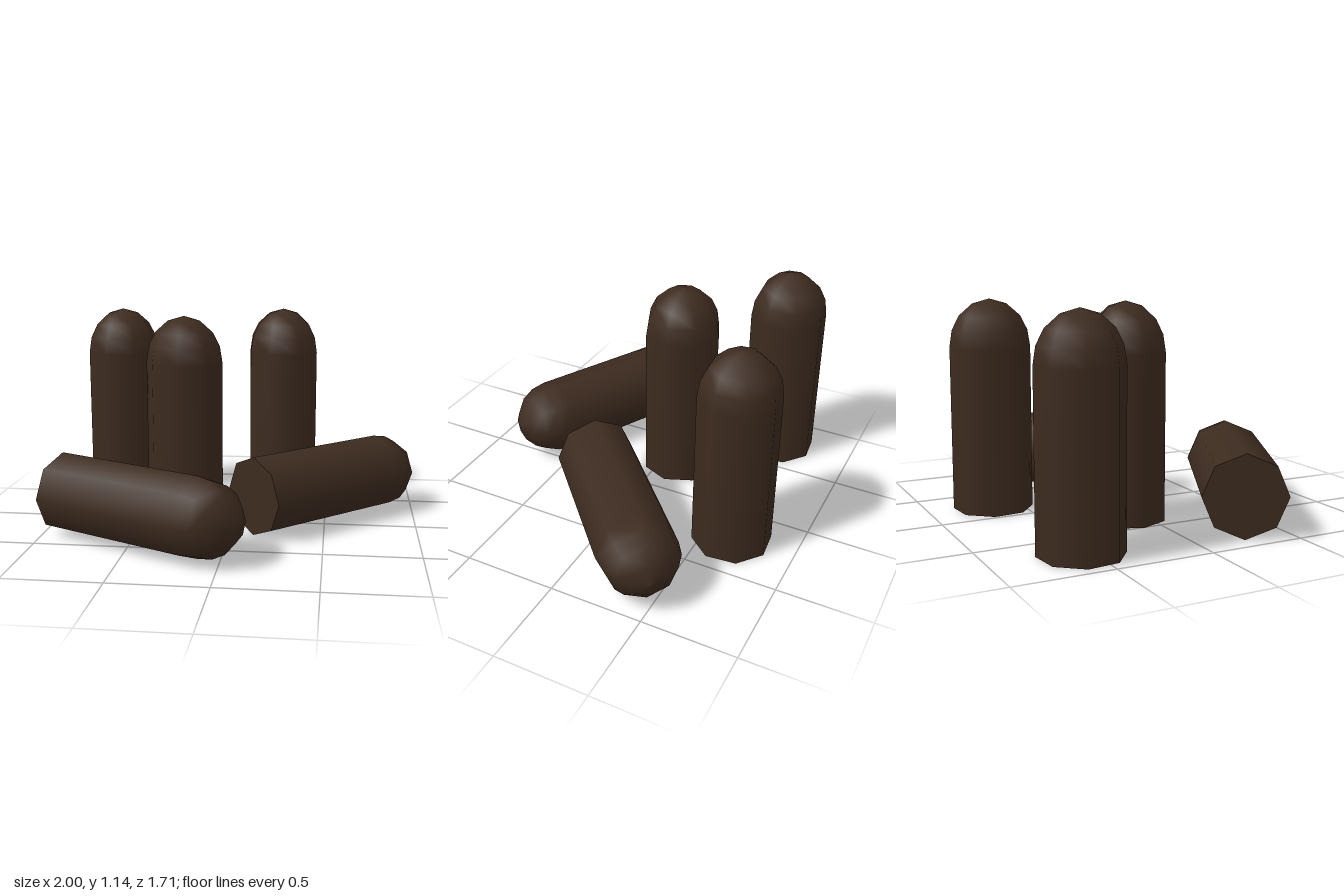
import * as THREE from 'three';
import { mergeGeometries } from 'three/addons/utils/BufferGeometryUtils.js';

const RADIUS = 0.214;

// Eight-sided round-nosed post with a flat base at y = 0
function makePostGeometry() {
  const profile = [
    [RADIUS, 0], [RADIUS, 0.88], [0.2, 0.97], [0.162, 1.046], [0.09, 1.11], [0, 1.136],
  ].map(([r, y]) => new THREE.Vector2(r, y));
  const shell = new THREE.LatheGeometry(profile, 8);
  const base = new THREE.CircleGeometry(RADIUS, 8).rotateX(Math.PI / 2);
  return mergeGeometries([shell, base]);
}

export function createModel() {
  const group = new THREE.Group();
  group.name = 'roundNosedPosts';
  const darkBrown = new THREE.MeshStandardMaterial({ color: 0x3d2b1f });
  darkBrown.name = 'darkBrown';
  const geometry = makePostGeometry();

  const add = (name, x, y, z, turn, lying) => {
    const mesh = new THREE.Mesh(geometry, darkBrown);
    mesh.name = name;
    mesh.position.set(x, y, z);
    mesh.rotation.set(0, turn, lying ? -Math.PI / 2 : 0);
    group.add(mesh);
  };

  // Standing posts
  add('standingPostRight', -0.743, 0, -0.556, -0.28, false);
  add('standingPostMiddle', -0.295, 0, -0.1, 0, false);
  add('standingPostLeft', 0.222, 0, -0.648, -0.29, false);

  // Posts lying on their sides, positioned by the base centre
  add('lyingPostLeft', 0.125, RADIUS, 0.237, 0.752, true);
  add('lyingPostRight', -0.905, RADIUS, 0.24, -0.464, true);

  return group;
}
